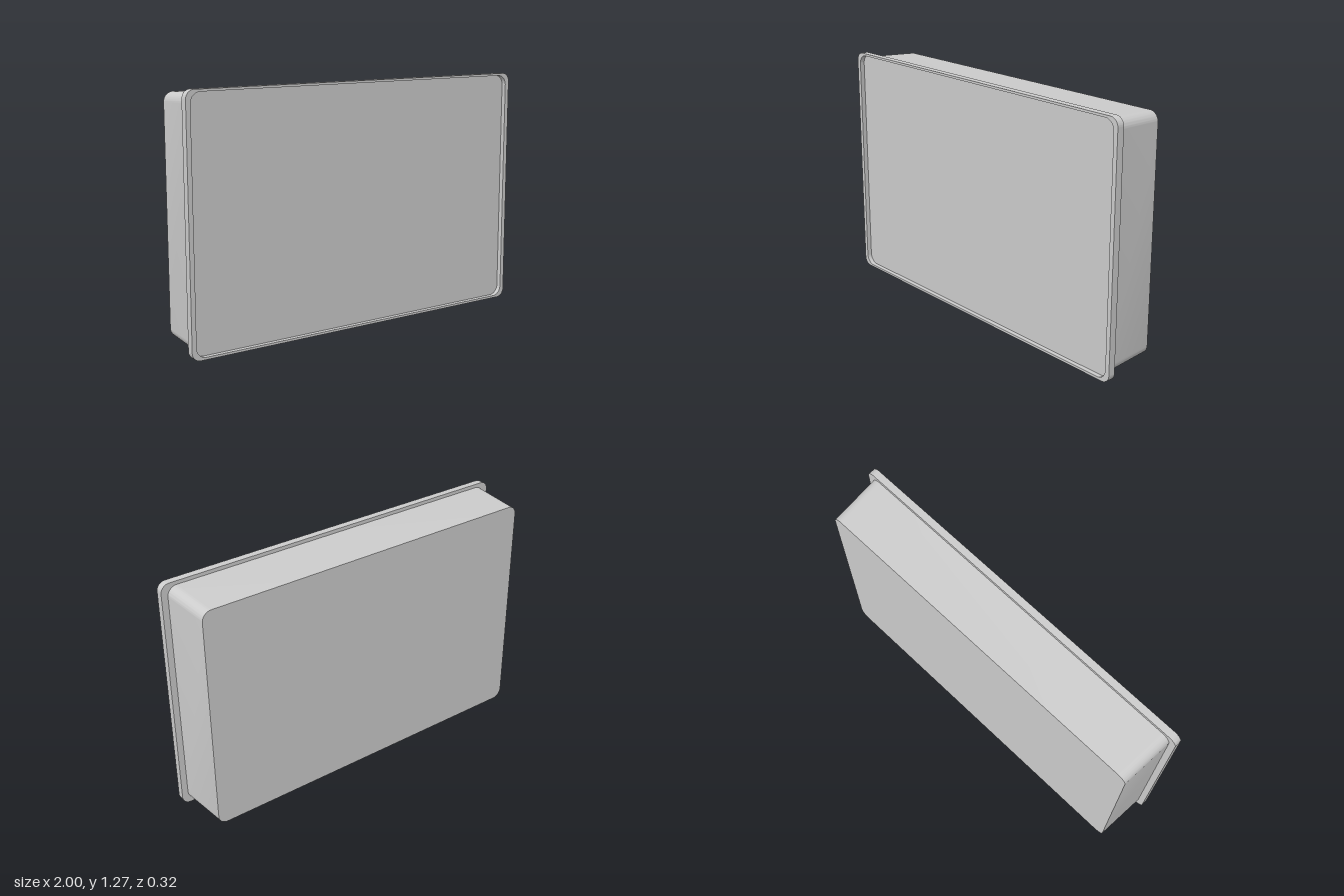
import * as THREE from 'three';
import { toCreasedNormals } from 'three/addons/utils/BufferGeometryUtils.js';

const HEIGHT = 1.27, MID = HEIGHT / 2;
const BACK = -0.158, RIM_BACK = 0.12, PANEL = 0.133, FRONT = 0.158;

// Rounded rectangle centred on the origin
function roundedRect(w, h, r, Type = THREE.Shape) {
  const s = new Type(), x = w / 2, y = h / 2;
  s.moveTo(x, -y + r);
  s.lineTo(x, y - r);
  s.absarc(x - r, y - r, r, 0, Math.PI / 2);
  s.lineTo(-x + r, y);
  s.absarc(-x + r, y - r, r, Math.PI / 2, Math.PI);
  s.lineTo(-x, -y + r);
  s.absarc(-x + r, -y + r, r, Math.PI, Math.PI * 1.5);
  s.lineTo(x - r, -y);
  s.absarc(x - r, -y + r, r, Math.PI * 1.5, Math.PI * 2);
  return s;
}

export function createModel() {
  const group = new THREE.Group();
  const material = new THREE.MeshStandardMaterial({ color: 0xcccccc });

  // Extrudes a shape from z0 to z1, optionally shifting its vertices by a rule
  function slab(name, shape, z0, z1, rule) {
    const geo = new THREE.ExtrudeGeometry(shape, { depth: z1 - z0, bevelEnabled: false, curveSegments: 8 });
    const p = geo.attributes.position;
    if (rule) for (let i = 0; i < p.count; i++) rule(p, i);
    const mesh = new THREE.Mesh(toCreasedNormals(geo, 0.6), material);
    mesh.name = name;
    mesh.position.set(0, MID, z0);
    group.add(mesh);
  }

  // Body: draft angle narrows every wall towards the back
  const depth = RIM_BACK - BACK;
  slab('body', roundedRect(1.9, 1.208, 0.05), BACK, RIM_BACK, (p, i) => {
    const grow = p.getZ(i) / depth;
    p.setX(i, p.getX(i) + Math.sign(p.getX(i)) * 0.017 * grow);
    p.setY(i, p.getY(i) + Math.sign(p.getY(i)) * 0.012 * grow);
  });

  // Projecting rim around the front, open in the middle
  const rim = roundedRect(2, HEIGHT, 0.045);
  rim.holes.push(roundedRect(1.952, 1.246, 0.052, THREE.Path));
  slab('rim', rim, RIM_BACK, FRONT);

  // Face panel set back inside the rim
  slab('facePanel', roundedRect(1.952, 1.246, 0.052), RIM_BACK, PANEL);

  return group;
}
